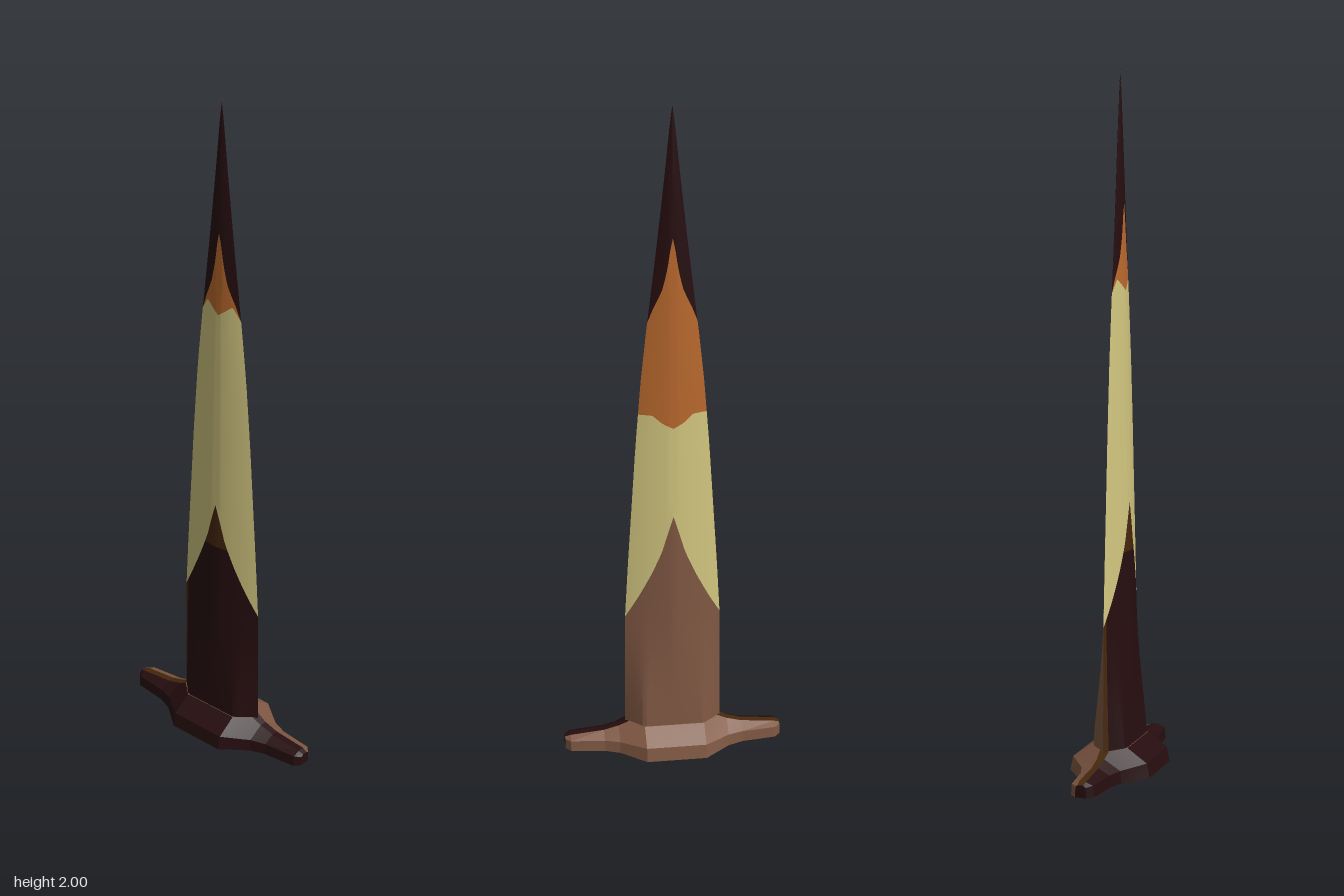
import * as THREE from 'three';
import { toCreasedNormals } from 'three/addons/utils/BufferGeometryUtils.js';

const mat = (name, color) => {
  const m = new THREE.MeshStandardMaterial({ color });
  m.name = name;
  return m;
};

// Piecewise linear lookup in [key, value] pairs
function lerpTable(table, t) {
  for (let i = 1; i < table.length; i++) {
    const [a, va] = table[i - 1], [b, vb] = table[i];
    if (t <= b) return va + (vb - va) * Math.max(0, (t - a) / (b - a));
  }
  return table[table.length - 1][1];
}

// Grid surface from a point rule, counter-clockwise seen from outside
function grid(nu, nv, point, crease) {
  const pos = [], idx = [];
  for (let j = 0; j <= nv; j++)
    for (let i = 0; i <= nu; i++) pos.push(...point(i / nu, j / nv));
  for (let j = 0; j < nv; j++)
    for (let i = 0; i < nu; i++) {
      const a = j * (nu + 1) + i, d = a + nu + 1;
      idx.push(a, a + 1, d + 1, a, d + 1, d);
    }
  const g = new THREE.BufferGeometry();
  g.setAttribute('position', new THREE.Float32BufferAttribute(pos, 3));
  g.setIndex(idx);
  return toCreasedNormals(g, crease);
}

// Blade half width and half depth by height
const WIDTH = [[0.07, 0.145], [0.44, 0.141], [0.6, 0.132], [0.8, 0.119], [1, 0.106], [1.2, 0.09],
  [1.35, 0.074], [1.45, 0.062], [1.6, 0.044], [1.8, 0.022], [1.97, 0.005], [2, 0.0005]];
const DEPTH = [[0.07, 0.053], [0.25, 0.042], [0.44, 0.035], [0.8, 0.028], [1.2, 0.02], [1.4, 0.016],
  [1.6, 0.012], [1.8, 0.008], [2, 0.0005]];

// Colour borders across the blade, by distance from the centre line
const border = table => u => lerpTable(table, Math.abs(u));
const bottom = () => 0.07;
const tip = () => 2;
const sheath = border([[0, 0.78], [0.125, 0.73], [0.25, 0.67], [1 / 3, 0.64], [0.5, 0.585], [0.75, 0.51], [1, 0.44]]);
const sheathFront = u => Math.min(0.64, sheath(u));
const creamFront = border([[0, 1.385], [0.3, 1.4], [0.7, 1.42], [1, 1.38]]);
const creamBack = border([[0, 1.06], [0.3, 1.075], [0.6, 1.1], [1, 1.1]]);
const orangeTop = border([[0, 1.63], [0.15, 1.6], [0.3, 1.54], [0.5, 1.48], [0.85, 1.42], [1, 1.38]]);

// Point on the blade: hexagonal at the root, lens shaped above
function bladePoint(u, y, side) {
  const a = Math.abs(u), k = THREE.MathUtils.smoothstep(y, 0.08, 0.5);
  const hex = Math.min(1, (1 - a) / 0.37);
  const lens = 0.6 * (1 - a * a) + 0.4 * (1 - a);
  return [side * lerpTable(WIDTH, y) * u, y, side * lerpTable(DEPTH, y) * (hex + (lens - hex) * k)];
}

// Guard sections: x, half width, shoulder height, top half width, top height
const GUARD = [[0.328, 0.016, 0.03, 0.008, 0.036], [0.312, 0.034, 0.033, 0.01, 0.042],
  [0.21, 0.046, 0.034, 0.01, 0.052], [0.165, 0.063, 0.036, 0.011, 0.065],
  [0.135, 0.086, 0.038, 0.014, 0.08], [0.09, 0.121, 0.042, 0.054, 0.082]];
const STATIONS = [...GUARD.map(([x, ...r]) => [-x, ...r]), ...GUARD.slice().reverse()];

export function createModel() {
  const maroon = mat('dark maroon', 0x260d0f);
  const brown = mat('brown', 0x805843);
  const umber = mat('dark umber', 0x45270d);
  const cream = mat('cream', 0xd3c780);
  const orange = mat('orange', 0xb9692d);

  const model = new THREE.Group();
  const add = (parent, name, geometry, material) => {
    const m = new THREE.Mesh(geometry, material);
    m.name = name;
    parent.add(m);
  };

  // Blade bands
  const blade = new THREE.Group();
  blade.name = 'blade';
  model.add(blade);
  const band = (name, material, side, low, high, rows, u0 = -1, u1 = 1) =>
    add(blade, name, grid(Math.round((u1 - u0) * 12), rows, (s, t) => {
      const u = u0 + (u1 - u0) * s;
      return bladePoint(u, low(u) + (high(u) - low(u)) * t, side);
    }, 0.35), material);

  band('frontSheath', maroon, 1, bottom, sheathFront, 8, -11 / 12, 1);
  band('frontSheathEdge', umber, 1, bottom, sheathFront, 8, -1, -11 / 12);
  band('frontChevron', umber, 1, sheathFront, sheath, 3, -1 / 3, 1 / 3);
  band('frontBlade', cream, 1, sheath, creamFront, 14);
  band('frontOrangeBand', orange, 1, creamFront, orangeTop, 5);
  band('frontTip', maroon, 1, orangeTop, tip, 10);
  band('backSheath', brown, -1, bottom, sheath, 8);
  band('backBlade', cream, -1, sheath, creamBack, 10);
  band('backOrangeBand', orange, -1, creamBack, orangeTop, 8);
  band('backTip', maroon, -1, orangeTop, tip, 10);

  // Cross guard, lofted along x
  const guard = new THREE.Group();
  guard.name = 'guard';
  model.add(guard);
  const loft = (name, material, section, stations = STATIONS) => {
    const rows = stations.map(section);
    const nu = stations.length - 1, nv = rows[0].length - 1;
    add(guard, name, grid(nu, nv, (s, t) => {
      const i = Math.round(s * nu), [z, y] = rows[i][Math.round(t * nv)];
      return [stations[i][0], y, z];
    }, 0.1), material);
  };
  loft('guardFront', maroon, ([, w, ys, wt, yt]) => [[w, 0], [w * 0.93, ys], [wt, yt]]);
  loft('guardBack', brown, ([, w, ys, wt, yt]) => [[-wt, yt], [-w * 0.93, ys], [-w, 0]]);
  loft('guardUnderside', maroon, ([, w]) => [[-w, 0], [w, 0]]);
  const top = ([, , , wt, yt]) => [[wt, yt], [-wt, yt]];
  loft('guardTopRight', umber, top, STATIONS.slice(0, 5));
  loft('guardTopMiddle', brown, top, STATIONS.slice(4, 8));
  loft('guardTopLeft', maroon, top, STATIONS.slice(7));

  // Guard end caps
  const [ex, ew, es, et, ey] = GUARD[0];
  const cap = new THREE.Shape([[-ew, 0], [ew, 0], [ew * 0.93, es], [et, ey], [-et, ey], [-ew * 0.93, es]]
    .map(p => new THREE.Vector2(...p)));
  for (const s of [-1, 1])
    add(guard, s > 0 ? 'leftGuardEnd' : 'rightGuardEnd',
      new THREE.ShapeGeometry(cap).rotateY(s * Math.PI / 2).translate(s * ex, 0, 0), maroon);

  return model;
}
